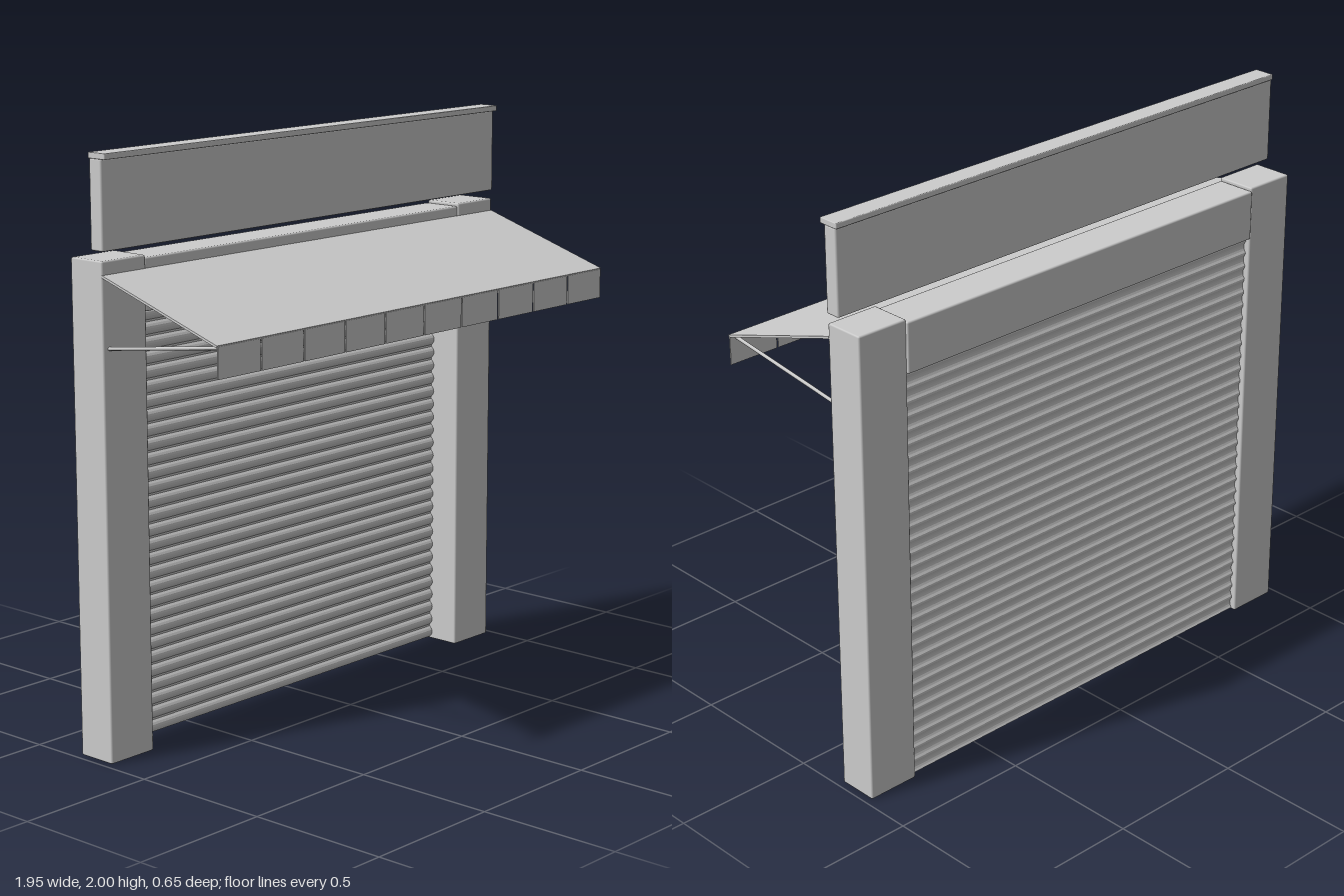
import * as THREE from 'three';
import { RoundedBoxGeometry } from 'three/addons/geometries/RoundedBoxGeometry.js';

const W = 0.975; // half width of the whole shopfront
const OPENING = 0.785; // half width of the shutter opening

export function createModel() {
  const model = new THREE.Group();
  model.name = 'shutteredShopfront';

  const paintedMetal = new THREE.MeshStandardMaterial({ color: 0xcccccc });
  paintedMetal.name = 'pale grey metal';

  function add(name, geometry, parent = model) {
    const mesh = new THREE.Mesh(geometry, paintedMetal);
    mesh.name = name;
    parent.add(mesh);
    return mesh;
  }

  // Softly bevelled box given by its limits on each axis
  function block(name, [x0, x1], [y0, y1], [z0, z1], radius = 0.006) {
    const g = new RoundedBoxGeometry(x1 - x0, y1 - y0, z1 - z0, 1, radius);
    g.translate((x0 + x1) / 2, (y0 + y1) / 2, (z0 + z1) / 2);
    return add(name, g);
  }

  // Thin straight rod between two points
  function rod(name, a, b, radius) {
    const g = new THREE.CylinderGeometry(radius, radius, a.distanceTo(b), 8);
    const mesh = add(name, g);
    mesh.position.copy(a).lerp(b, 0.5);
    mesh.quaternion.setFromUnitVectors(
      new THREE.Vector3(0, 1, 0),
      b.clone().sub(a).normalize()
    );
  }

  // Side pillars and awning struts
  for (const [side, s] of [['left', 1], ['right', -1]]) {
    const xs = [s * OPENING, s * W].sort((a, b) => a - b);
    block(side + 'Pillar', xs, [0, 1.66], [-0.32, -0.176]);
    rod(
      side + 'AwningStrut',
      new THREE.Vector3(s * 0.95, 1.378, -0.18),
      new THREE.Vector3(s * 0.95, 1.444, 0.315),
      0.006
    );
  }

  // Housing for the rolled shutter
  block('shutterHousing', [-OPENING, OPENING], [1.475, 1.65], [-0.325, -0.18]);

  // Sign board with its cap
  block('signBoard', [-W, W], [1.69, 1.982], [-0.226, -0.172]);
  block('signCap', [-W, W], [1.98, 2], [-0.23, -0.155], 0.003);

  // Roller shutter made of bowed, interlocking slats
  const shutter = new THREE.Group();
  shutter.name = 'rollerShutter';
  model.add(shutter);
  const pitch = 0.0487;
  const slatHeight = pitch - 0.007;
  const slat = new THREE.Shape();
  slat.moveTo(0.303, 0);
  slat.lineTo(0.298, 0);
  slat.quadraticCurveTo(0.274, slatHeight / 2, 0.298, slatHeight);
  slat.lineTo(0.298, pitch);
  slat.lineTo(0.303, pitch);
  slat.lineTo(0.303, slatHeight);
  slat.quadraticCurveTo(0.287, slatHeight / 2, 0.303, 0);
  const slatGeometry = new THREE.ExtrudeGeometry(slat, {
    depth: 2 * OPENING,
    bevelEnabled: false,
    curveSegments: 6
  });
  slatGeometry.rotateY(Math.PI / 2);
  slatGeometry.translate(-OPENING, 0.006, 0);
  for (let i = 0; i < 31; i++) {
    add('slat', slatGeometry, shutter).position.y = i * pitch;
  }

  // Sloping awning sheet
  const back = new THREE.Vector2(-0.178, 1.612);
  const front = new THREE.Vector2(0.323, 1.452);
  const run = front.clone().sub(back);
  const sheet = add('awningSheet', new THREE.BoxGeometry(2 * W, 0.008, run.length()));
  sheet.position.set(0, (back.y + front.y) / 2, (back.x + front.x) / 2);
  sheet.rotation.x = Math.atan2(-run.y, run.x);

  // Hanging valance cut into ten flaps
  const valance = new THREE.Group();
  valance.name = 'valance';
  model.add(valance);
  const flapWidth = (2 * W) / 10;
  const flapGeometry = new THREE.BoxGeometry(flapWidth - 0.007, 0.102, 0.004);
  for (let i = 0; i < 10; i++) {
    const flap = add('valanceFlap', flapGeometry, valance);
    flap.position.set(-W + (i + 0.5) * flapWidth, 1.401, 0.323);
  }

  return model;
}
